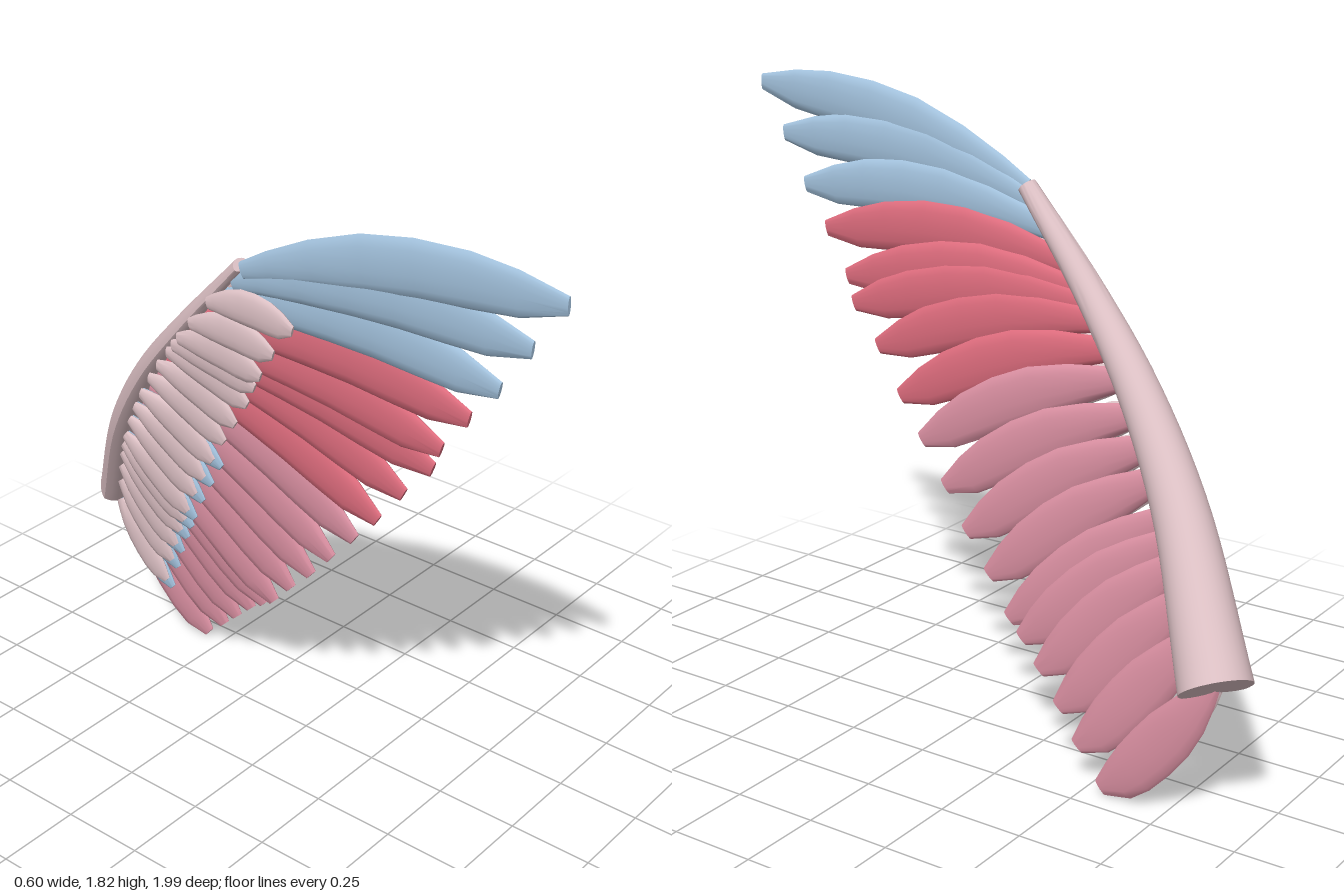
import * as THREE from 'three';
import { toCreasedNormals } from 'three/addons/utils/BufferGeometryUtils.js';

const paint = (name, color) => {
  const m = new THREE.MeshStandardMaterial({ color });
  m.name = name;
  return m;
};

// Closed skin over a list of rings, each with the same number of points
function loft(rings) {
  const n = rings[0].length, pos = [], index = [];
  rings.forEach(r => r.forEach(p => pos.push(p.x, p.y, p.z)));
  for (let i = 0; i < rings.length - 1; i++) {
    for (let j = 0; j < n; j++) {
      const a = i * n + j, b = i * n + (j + 1) % n;
      index.push(a, a + n, b, b, a + n, b + n);
    }
  }
  [rings[0], rings.at(-1)].forEach((ring, end) => {
    const c = ring.reduce((s, p) => s.add(p), new THREE.Vector3()).divideScalar(n);
    const hub = pos.length / 3, start = end ? (rings.length - 1) * n : 0;
    pos.push(c.x, c.y, c.z);
    for (let j = 0; j < n; j++) {
      const a = start + j, b = start + (j + 1) % n;
      index.push(hub, end ? b : a, end ? a : b);
    }
  });
  const g = new THREE.BufferGeometry();
  g.setAttribute('position', new THREE.Float32BufferAttribute(pos, 3));
  g.setIndex(index);
  return toCreasedNormals(g, 0.7);
}

// Rows: position along feather, upper width, lower width, thickness
const PROFILE = [
  [0, 0.35, 0.35, 0.5], [0.1, 0.55, 0.55, 0.75], [0.25, 0.8, 0.82, 1], [0.42, 1, 1, 1],
  [0.58, 1, 1.05, 1], [0.74, 0.88, 1.05, 0.9], [0.87, 0.65, 0.92, 0.7], [1, 0.3, 0.35, 0.3],
];

// Lens-shaped feather, bowed in the z-y plane
function feather(root, tip, bow, halfWidth, halfThick) {
  const chord = tip.clone().sub(root);
  const side = new THREE.Vector3(0, chord.z, -chord.y).normalize();
  const mid = root.clone().lerp(tip, 0.5).addScaledVector(side, bow * 2);
  const curve = new THREE.QuadraticBezierCurve3(root, mid, tip);
  return loft(PROFILE.map(([t, up, low, thick]) => {
    const p = curve.getPoint(t), d = curve.getTangent(t);
    const u = new THREE.Vector3(0, d.z, -d.y).normalize();
    return Array.from({ length: 14 }, (_, k) => {
      const a = k / 14 * Math.PI * 2, c = Math.cos(a);
      const q = p.clone().addScaledVector(u, c * halfWidth * (c > 0 ? up : low));
      q.x += Math.sin(a) * halfThick * thick;
      return q;
    });
  }));
}

// Root position along the arm, then the tip x, y, z
const FEATHERS = [
  [0.0, -0.285, 1.775, 0.99], [0.04, -0.265, 1.63, 0.89], [0.1, -0.24, 1.485, 0.79],
  [0.18, -0.215, 1.365, 0.69], [0.24, -0.185, 1.235, 0.59], [0.27, -0.17, 1.16, 0.555],
  [0.3, -0.155, 1.045, 0.455], [0.36, -0.125, 0.915, 0.35], [0.42, -0.095, 0.805, 0.25],
  [0.49, -0.065, 0.69, 0.145], [0.55, -0.03, 0.58, 0.045], [0.61, 0.0, 0.48, -0.055],
  [0.68, 0.035, 0.38, -0.15], [0.72, 0.055, 0.34, -0.205], [0.76, 0.085, 0.275, -0.285],
  [0.82, 0.115, 0.195, -0.37], [0.89, 0.15, 0.115, -0.455], [0.985, 0.18, 0.03, -0.55],
];

export function createModel() {
  const wing = new THREE.Group();
  wing.name = 'wing';
  const pale = paint('palePink', 0xdcc0c4);
  const blue = paint('softBlue', 0xa2c1dc);
  const red = paint('roseRed', 0xdd6c7d);
  const pink = paint('dustyPink', 0xd98fa1);
  const add = (parent, name, geometry, material) => {
    const m = new THREE.Mesh(geometry, material);
    m.name = name;
    parent.add(m);
  };

  // Tapered arm, grooved along the side that holds the feathers
  const arm = new THREE.CatmullRomCurve3([
    [-0.215, 1.57, -0.035], [-0.16, 1.31, -0.28], [-0.08, 1.08, -0.49],
    [0.03, 0.81, -0.69], [0.215, 0.43, -0.91],
  ].map(p => new THREE.Vector3(...p)));
  const groove = new THREE.Vector3(-0.64, -0.59, 0.46);
  const armRadius = s => 0.028 + 0.072 * s;
  const armRings = Array.from({ length: 25 }, (_, i) => {
    const s = i / 24, p = arm.getPointAt(s), t = arm.getTangentAt(s);
    const m = groove.clone().addScaledVector(t, -groove.dot(t)).normalize();
    const b = m.clone().cross(t);
    return Array.from({ length: 32 }, (_, k) => {
      const a = k / 32 * Math.PI * 2;
      const off = Math.min(a, Math.PI * 2 - a);
      const r = armRadius(s) * Math.min(1, 0.2 + 0.8 * off / 0.95);
      return p.clone().addScaledVector(m, r * Math.cos(a)).addScaledVector(b, r * Math.sin(a));
    });
  });
  add(wing, 'arm', loft(armRings), pale);

  const flight = new THREE.Group(), coverts = new THREE.Group();
  flight.name = 'flightFeathers';
  coverts.name = 'coverts';
  wing.add(flight, coverts);

  FEATHERS.forEach(([s, x, y, z], i) => {
    const root = arm.getPointAt(s).addScaledVector(groove, armRadius(s) * 0.4);
    const tip = new THREE.Vector3(x, y, z);
    const bow = 0.055 - 0.08 * s * s;
    const [name, mat] = i < 3 ? ['blueFeather', blue] : i < 8 ? ['redFeather', red] : ['pinkFeather', pink];
    add(flight, name, feather(root, tip, bow, 0.075, 0.02), mat);

    // Short covering feathers on the -x face
    if (i < 2) return;
    const length = root.distanceTo(tip);
    const covert = (reach, shift, width, thick) => {
      const a = root.clone(), b = root.clone().lerp(tip, reach / length);
      a.x -= shift;
      b.x -= shift;
      return feather(a, b, bow * 0.4, width, thick);
    };
    add(coverts, 'paleCovert', covert(0.3, 0.045, 0.05, 0.015), pale);
    if (i > 8) add(coverts, 'blueCovert', covert(0.33, 0.038, 0.045, 0.014), blue);
  });
  return wing;
}
